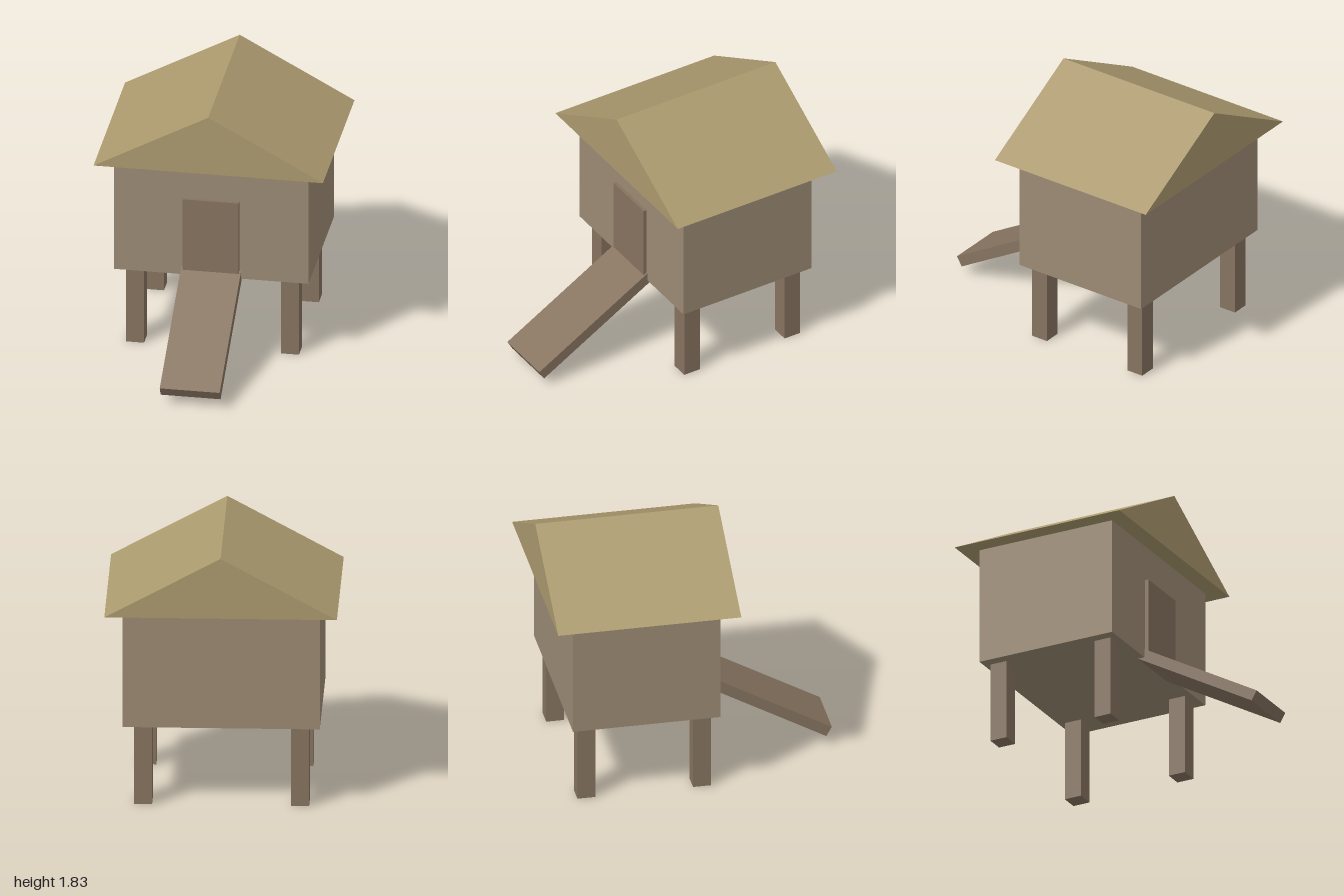
import * as THREE from 'three';

const material = (color) => new THREE.MeshStandardMaterial({ color, flatShading: true });

export function createModel() {
  const model = new THREE.Group();
  model.name = 'stiltHut';
  const wall = material(0x9c8a74);
  const timber = material(0x86735f);
  const thatch = material(0xab9a6e);

  const add = (name, geometry, mat, x = 0, y = 0, z = 0) => {
    const mesh = new THREE.Mesh(geometry, mat);
    mesh.name = name;
    mesh.position.set(x, y, z);
    model.add(mesh);
    return mesh;
  };

  // Cabin body
  add('body', new THREE.BoxGeometry(1.33, 0.83, 1.015), wall, 0, 0.982, -0.367);

  // Gable roof: a triangular prism overhanging the walls
  const gable = new THREE.Shape();
  gable.moveTo(-0.785, 0);
  gable.lineTo(0.785, 0);
  gable.lineTo(0, 0.428);
  gable.closePath();
  const roof = new THREE.ExtrudeGeometry(gable, { depth: 1.26, bevelEnabled: false });
  add('roof', roof, thatch, 0, 1.397, -1);

  // Four square stilts
  for (const [end, z] of [['front', 0.028], ['back', -0.768]]) {
    for (const [side, x] of [['Left', 0.53], ['Right', -0.53]]) {
      add(`${end}${side}Leg`, new THREE.BoxGeometry(0.123, 0.57, 0.123), timber, x, 0.285, z);
    }
  }

  // Door panel standing just proud of the front wall
  add('door', new THREE.BoxGeometry(0.385, 0.545, 0.05), timber, 0, 0.8725, 0.14);

  // Sloping plank: its lower top edge is placed first, then it rises at 30 degrees into the wall
  const length = 1.06;
  const plank = new THREE.BoxGeometry(0.41, 0.077, length);
  plank.translate(0, -0.0385, -length / 2);
  const ramp = add('ramp', plank, timber, 0, 0.131, 1);
  ramp.rotation.x = Math.PI / 6;

  return model;
}
